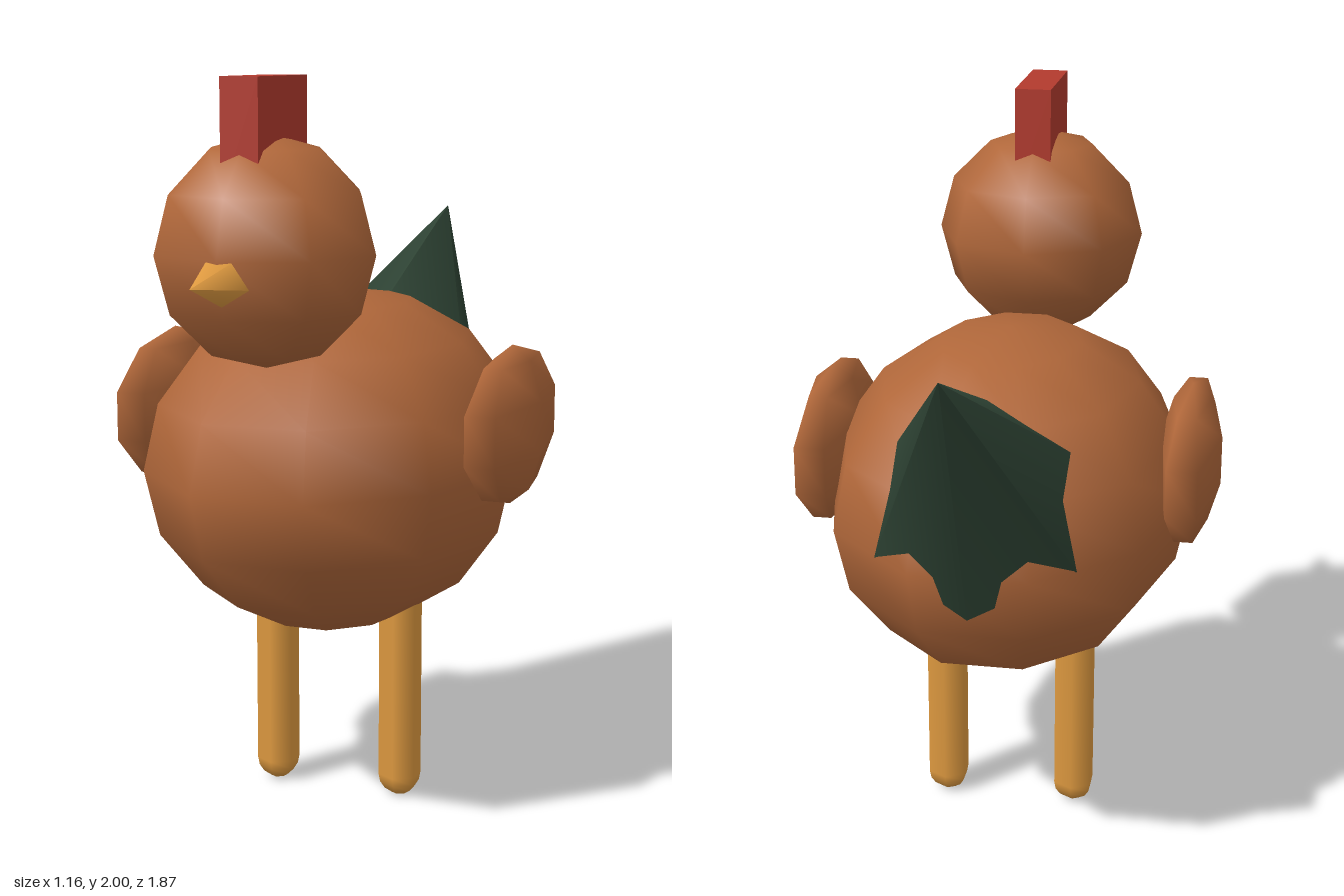
import * as THREE from 'three';

const paint = (name, color) => {
  const m = new THREE.MeshStandardMaterial({ color });
  m.name = name;
  return m;
};

export function createModel() {
  const brown = paint('brown feathers', 0xb0673a);
  const green = paint('dark green tail', 0x2d4233);
  const orange = paint('orange beak and legs', 0xdf9a40);
  const red = paint('red comb', 0xb33a2e);

  const model = new THREE.Group();
  model.name = 'hen';
  const add = (name, geometry, material, x, y, z) => {
    const mesh = new THREE.Mesh(geometry, material);
    mesh.name = name;
    mesh.position.set(x, y, z);
    model.add(mesh);
    return mesh;
  };

  // Egg-shaped body and round head
  add('body', new THREE.SphereGeometry(1, 10, 8), brown, 0, 0.96, 0).scale.set(0.5, 0.467, 0.66);
  add('head', new THREE.SphereGeometry(0.293, 8, 6), brown, 0, 1.57, 0.492);

  // Comb sunk into the top of the head
  add('comb', new THREE.BoxGeometry(0.1, 0.3, 0.305), red, 0, 1.85, 0.495);

  // Five-sided beak pointing forward
  add('beak', new THREE.ConeGeometry(0.075, 0.21, 5).rotateX(Math.PI / 2), orange, 0, 1.523, 0.825);

  // Six-sided tail cone, leaning back at 45 degrees from its tip
  const tailLength = 0.73;
  const tail = new THREE.ConeGeometry(0.302, tailLength, 6)
    .translate(0, -tailLength / 2, 0)
    .rotateX(-Math.PI / 4);
  add('tail', tail, green, 0, 1.58, -0.935);

  // Wings and legs, mirrored
  for (const [side, s] of [['left', 1], ['right', -1]]) {
    add(side + 'Wing', new THREE.SphereGeometry(1, 6, 5), brown, s * 0.495, 1.08, 0)
      .scale.set(0.087, 0.215, 0.34);
    const leg = new THREE.CapsuleGeometry(0.06, 0.5, 4, 6).rotateY(Math.PI / 2);
    add(side + 'Leg', leg, orange, s * 0.185, 0.31, 0);
  }
  return model;
}
